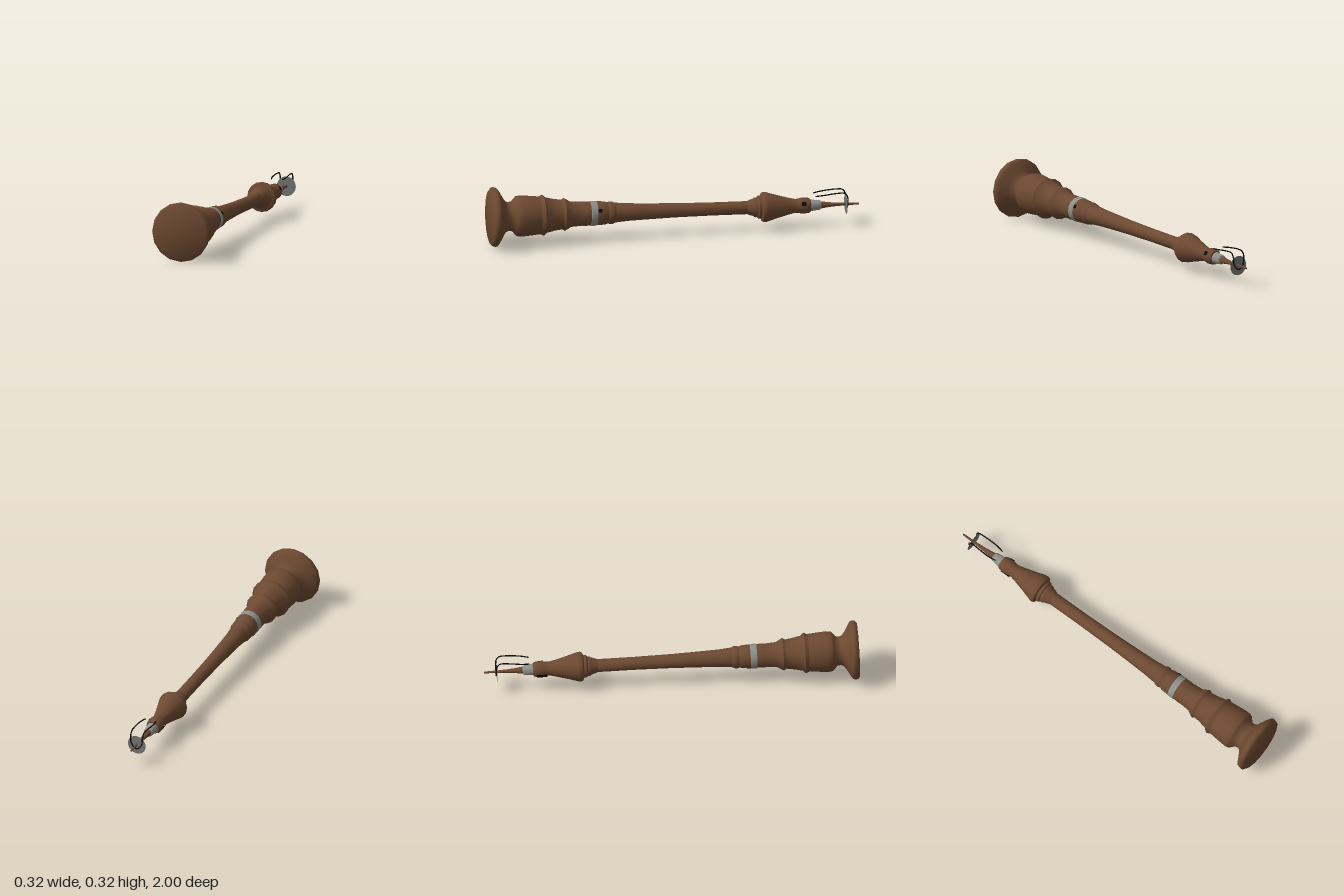
import * as THREE from 'three';
import { toCreasedNormals } from 'three/addons/utils/BufferGeometryUtils.js';

const mat = (name, color, side = THREE.FrontSide) => {
  const m = new THREE.MeshStandardMaterial({ color, side });
  m.name = name;
  return m;
};

export function createModel() {
  const wood = mat('brown wood', 0x6d4931, THREE.DoubleSide);
  const metal = mat('silver metal', 0x8f8f8b, THREE.DoubleSide);
  const plate = mat('dull metal', 0x747874, THREE.DoubleSide);
  const black = mat('black', 0x0b0b0b, THREE.DoubleSide);

  const model = new THREE.Group();
  model.name = 'woodwindPipe';

  // The bore axis runs along z and rises slightly toward the bell
  const axis = new THREE.Group();
  axis.name = 'pipe';
  axis.position.y = 0.138;
  axis.rotation.x = -0.0245;
  model.add(axis);

  // Turned part from [z, radius] pairs, back to front
  function turned(name, material, profile, start = 0, sweep = Math.PI * 2, segments = 16) {
    const pts = profile.map(([z, r]) => new THREE.Vector2(r, z));
    const geo = new THREE.LatheGeometry(pts, segments, start, sweep);
    geo.rotateX(Math.PI / 2);
    const mesh = new THREE.Mesh(toCreasedNormals(geo, 0.75), material);
    mesh.name = name;
    axis.add(mesh);
    return mesh;
  }

  // Reed and its metal staple
  turned('reed', wood, [[-1, 0], [-1, 0.005], [-0.93, 0.007], [-0.87, 0.01], [-0.83, 0.014], [-0.79, 0.02]]);
  turned('staple', metal, [[-0.795, 0.018], [-0.79, 0.025], [-0.74, 0.031], [-0.735, 0.026]]);

  // Head joint with its flared collar
  turned('headJoint', wood, [
    [-0.737, 0], [-0.737, 0.036], [-0.725, 0.041], [-0.69, 0.043], [-0.67, 0.038], [-0.655, 0.037],
    [-0.62, 0.045], [-0.56, 0.061], [-0.5, 0.079], [-0.485, 0.081], [-0.474, 0.076], [-0.468, 0.06],
    [-0.455, 0.062], [-0.447, 0.053], [-0.435, 0.053], [-0.425, 0.045], [-0.41, 0.042], [-0.395, 0.035],
  ]);

  // Long tapering shaft
  turned('shaft', wood, [
    [-0.395, 0.035], [-0.2, 0.035], [0, 0.038], [0.15, 0.043], [0.25, 0.047], [0.32, 0.053],
  ]);

  // Ringed lower joint
  turned('lowerJoint', wood, [
    [0.32, 0.053], [0.335, 0.06], [0.35, 0.061], [0.36, 0.056], [0.375, 0.062], [0.42, 0.064],
    [0.46, 0.064], [0.49, 0.066], [0.5, 0.064], [0.56, 0.068], [0.578, 0.078], [0.595, 0.088],
    [0.61, 0.079], [0.65, 0.085], [0.695, 0.095], [0.71, 0.11], [0.73, 0.101],
  ]);

  // Bulb and flared bell with a closed face
  turned('bell', wood, [
    [0.73, 0.101], [0.78, 0.106], [0.83, 0.11], [0.855, 0.107], [0.867, 0.094], [0.88, 0.08],
    [0.9, 0.077], [0.915, 0.084], [0.93, 0.105], [0.95, 0.14], [0.962, 0.157], [0.975, 0.16],
    [0.987, 0.157], [0.996, 0.145], [0.998, 0],
  ]);

  // Metal band around the lower joint
  turned('band', metal, [[0.42, 0.0635], [0.421, 0.066], [0.455, 0.067], [0.456, 0.0635]]);

  // Small dark inlays on the curved wood
  const inlay = (name, z0, z1, r, angle, sweep) =>
    turned(name, black, [[z0, r], [z1, r]], angle - sweep / 2, sweep, 5);
  inlay('headInlayRight', -0.72, -0.665, 0.0445, -0.95, 0.9);
  inlay('headInlayLeft', -0.71, -0.685, 0.0445, 2.1, 0.5);
  inlay('lowerInlayRight', 0.4, 0.42, 0.0655, -0.75, 0.3);
  inlay('lowerInlayLeft', 0.4, 0.42, 0.0655, 2.1, 0.3);

  // Thin lip disc around the reed
  const disc = new THREE.Mesh(new THREE.CircleGeometry(0.053, 20), plate);
  disc.name = 'lipDisc';
  disc.position.set(0, 0.115, -0.93);
  model.add(disc);

  // Bent wire: two mirrored arms joined by a U behind the disc
  const arm = [
    [0.031, 0.178, -0.76], [0.038, 0.183, -0.8], [0.037, 0.19, -0.88],
    [0.035, 0.187, -0.917], [0.035, 0.168, -0.932], [0.029, 0.12, -0.935],
  ];
  const path = [
    ...arm.map(([x, y, z]) => new THREE.Vector3(x, y, z)),
    new THREE.Vector3(0, 0.094, -0.935),
    ...arm.map(([x, y, z]) => new THREE.Vector3(-x, y, z)).reverse(),
  ];
  const wire = new THREE.Mesh(
    new THREE.TubeGeometry(new THREE.CatmullRomCurve3(path), 80, 0.0035, 6), black);
  wire.name = 'wire';
  model.add(wire);

  return model;
}
